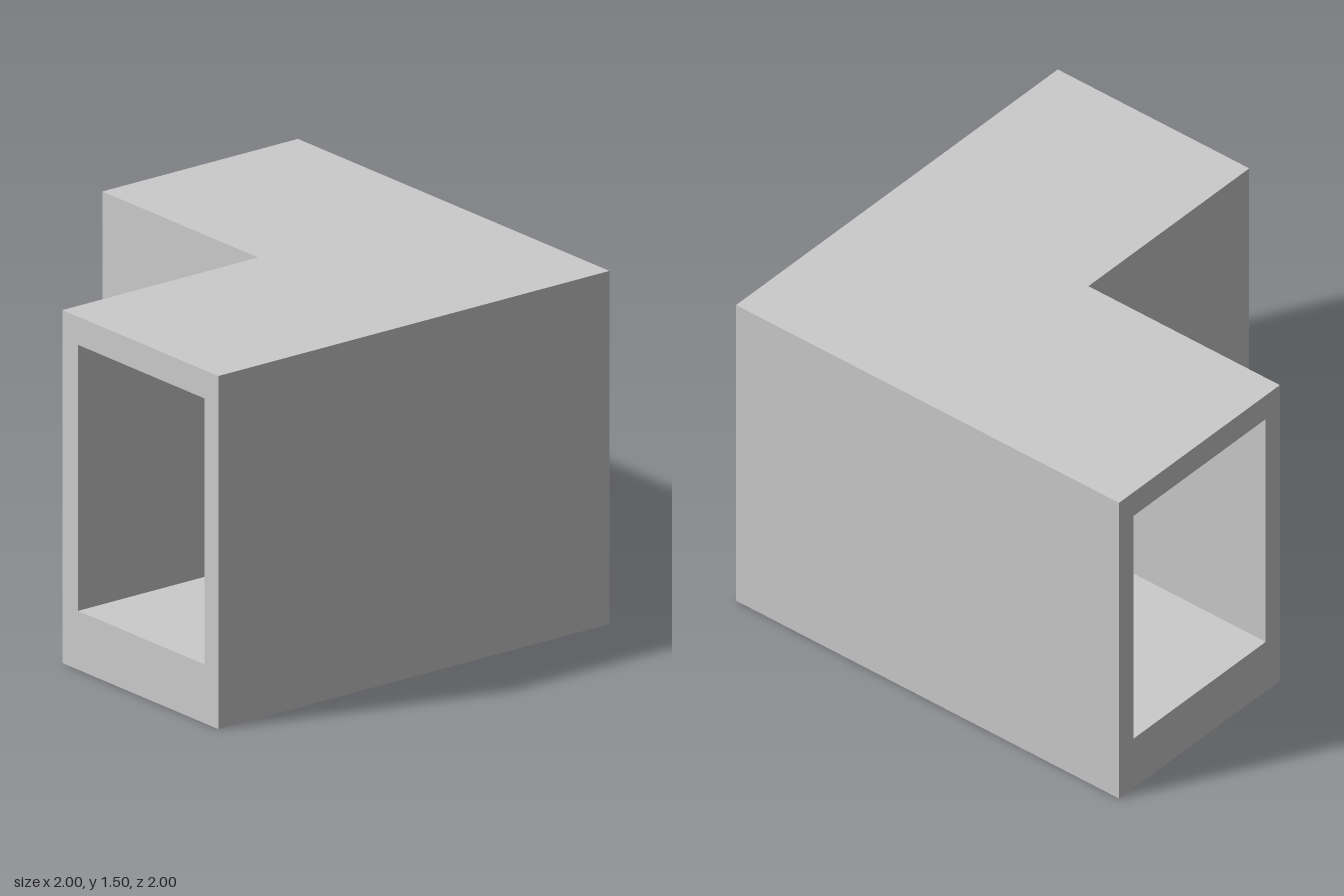
import * as THREE from 'three';
import { mergeGeometries } from 'three/addons/utils/BufferGeometryUtils.js';

const HEIGHT = 1.5, FLOOR = 0.25, CEILING = 1.38;

// Plan points are [x, z]; every path bends round the corner of the L.
const outerNear = [[-1, 0], [0, 0], [0, 1]];
const outerFar = [[1, 1], [1, -1], [-1, -1]];
const tunnelNear = [[0.1, 1], [0.1, -0.088], [-1, -0.088]];
const tunnelFar = [[-1, -0.91], [0.91, -0.91], [0.91, 1]];

const toShape = (pts) => new THREE.Shape(pts.map(([x, y]) => new THREE.Vector2(x, y)));
const rect = (x0, y0, x1, y1) => [[x0, y0], [x1, y0], [x1, y1], [x0, y1]];

// Flat L-shaped sheet at height y, facing up or down
function sheet(plan, y, up) {
  const s = up ? -1 : 1;
  return new THREE.ShapeGeometry(toShape(plan.map(([x, z]) => [x, s * z])))
    .rotateX(s * Math.PI / 2).translate(0, y, 0);
}

// Upright walls along a plan path, facing right of the direction of travel
function walls(path, y0, y1) {
  const panels = path.slice(1).map(([x, z], i) => {
    const [px, pz] = path[i];
    const dx = x - px, dz = z - pz;
    return new THREE.PlaneGeometry(Math.hypot(dx, dz), y1 - y0)
      .rotateY(Math.atan2(-dz, dx))
      .translate((x + px) / 2, (y0 + y1) / 2, (z + pz) / 2);
  });
  return mergeGeometries(panels);
}

// End face pierced by the tunnel opening
function endFrame(u0, u1, open0, open1) {
  const shape = toShape(rect(u0, 0, u1, HEIGHT));
  shape.holes.push(toShape(rect(open0, FLOOR, open1, CEILING)));
  return new THREE.ShapeGeometry(shape);
}

export function createModel() {
  const group = new THREE.Group();
  const material = new THREE.MeshStandardMaterial({ color: 0xcccccc, side: THREE.DoubleSide });
  const add = (name, geometry) => {
    const mesh = new THREE.Mesh(geometry, material);
    mesh.name = name;
    group.add(mesh);
  };

  // Outer block
  const outerPlan = [...outerNear, ...outerFar];
  add('roof', sheet(outerPlan, HEIGHT, true));
  add('underside', sheet(outerPlan, 0, false));
  add('innerCornerWalls', walls(outerNear, 0, HEIGHT));
  add('outerCornerWalls', walls(outerFar, 0, HEIGHT));

  // Tunnel running through the corner
  const tunnelPlan = [...tunnelNear, ...tunnelFar];
  add('tunnelFloor', sheet(tunnelPlan, FLOOR, true));
  add('tunnelCeiling', sheet(tunnelPlan, CEILING, false));
  add('tunnelNearWalls', walls(tunnelNear, FLOOR, CEILING));
  add('tunnelFarWalls', walls(tunnelFar, FLOOR, CEILING));

  // Framed openings at the two ends
  add('frontOpeningFrame', endFrame(0, 1, 0.1, 0.91).translate(0, 0, 1));
  add('sideOpeningFrame', endFrame(-1, 0, -0.91, -0.088).rotateY(-Math.PI / 2).translate(-1, 0, 0));

  return group;
}
